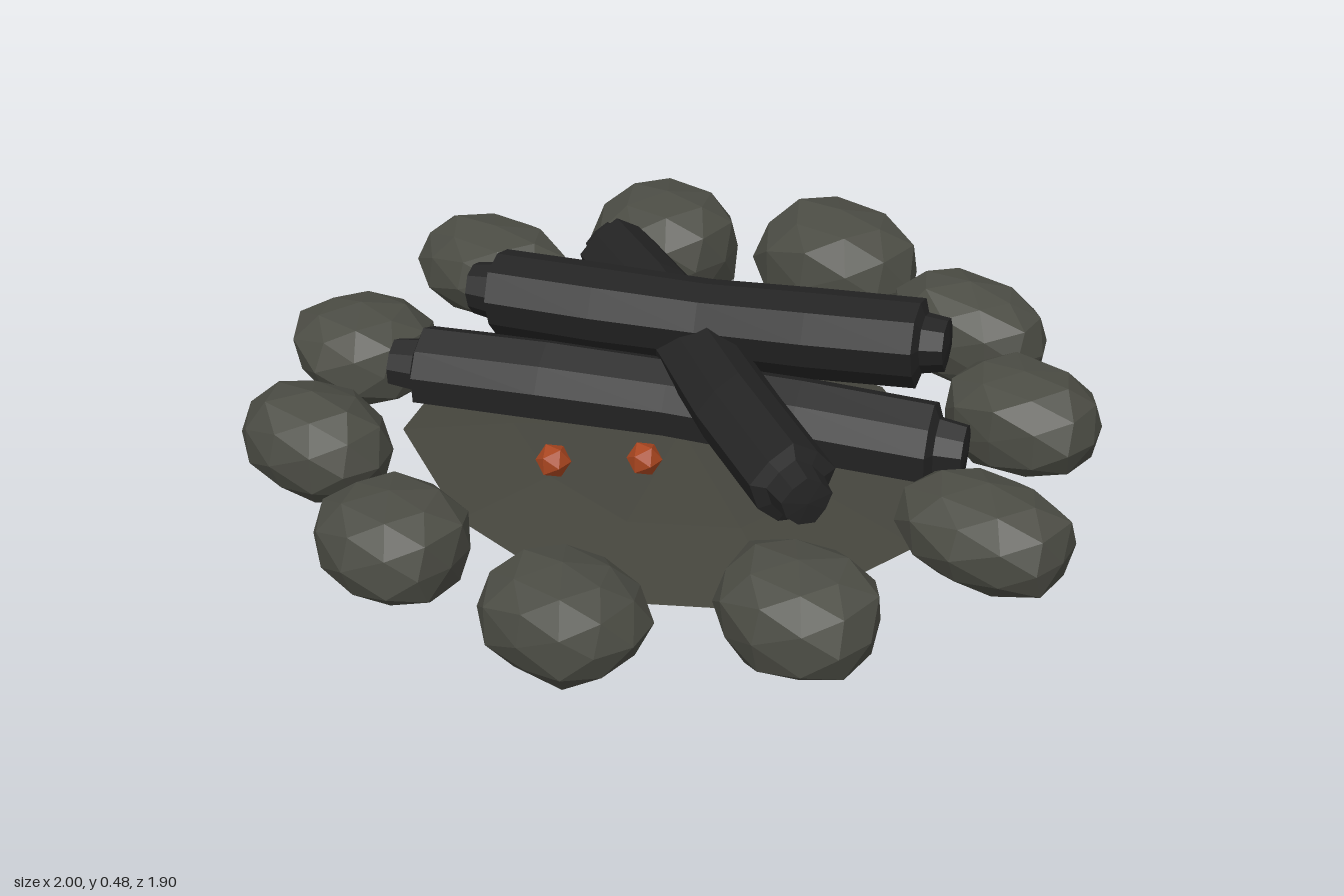
import * as THREE from 'three';

const material = (name, color) => Object.assign(new THREE.MeshStandardMaterial({ color }), { name });

// Repeatable noise from -1 to 1, tied to a position so shared corners stay joined
function noise(p, seed) {
  const s = Math.sin(Math.round(p.x * 50) * 12.99 + Math.round(p.y * 50) * 78.23 + Math.round(p.z * 50) * 37.72 + seed * 9.1) * 43758.5;
  return (s - Math.floor(s)) * 2 - 1;
}

// Faceted skin through rings of points; rings run counter-clockwise seen from the far end
function loft(rings) {
  const points = [];
  const tri = (...c) => {
    if (!c[0].equals(c[1]) && !c[1].equals(c[2]) && !c[2].equals(c[0])) points.push(...c);
  };
  for (let i = 0; i < rings.length - 1; i++) {
    const n = rings[i].length;
    for (let j = 0; j < n; j++) {
      const k = (j + 1) % n;
      tri(rings[i][j], rings[i][k], rings[i + 1][k]);
      tri(rings[i][j], rings[i + 1][k], rings[i + 1][j]);
    }
  }
  const g = new THREE.BufferGeometry().setFromPoints(points);
  g.computeVertexNormals();
  return g;
}

// Rounded, slightly boxy stone that fills the given half sizes
function stoneGeometry(rx, ry, rz, seed) {
  const g = new THREE.IcosahedronGeometry(1, 1);
  const pos = g.attributes.position;
  const v = new THREE.Vector3();
  const bulge = (a) => Math.sign(a) * Math.abs(a) ** 0.9;
  for (let i = 0; i < pos.count; i++) {
    v.fromBufferAttribute(pos, i);
    const k = 1 + 0.06 * noise(v, seed);
    pos.setXYZ(i, bulge(v.x) * k, bulge(v.y) * k, bulge(v.z) * k);
  }
  g.center();
  g.boundingBox = null;
  g.computeBoundingBox();
  const b = g.boundingBox.max;
  g.scale(rx / b.x, ry / b.y, rz / b.z);
  g.computeVertexNormals();
  return g;
}

// Ridged log along a bent path, with a narrowed, pointed cap at each end
function logGeometry(path, radius, seed) {
  const curve = new THREE.CatmullRomCurve3(path.map((p) => new THREE.Vector3(...p)));
  const axis = curve.getPoint(1).sub(curve.getPoint(0)).normalize();
  const side = new THREE.Vector3().crossVectors(axis, new THREE.Vector3(0, 1, 0)).normalize();
  const up = new THREE.Vector3().crossVectors(side, axis);
  const stations = [[0, 0], [0.005, 0.58], [0.05, 0.66], [0.06, 0.98], [0.28, 1], [0.5, 0.96],
    [0.72, 1], [0.94, 0.98], [0.95, 0.66], [0.995, 0.58], [1, 0]];
  return loft(stations.map(([t, k]) => {
    const c = curve.getPointAt(t);
    return Array.from({ length: 9 }, (_, j) => {
      const a = (j / 9) * Math.PI * 2;
      const r = radius * k * (1 + 0.08 * Math.sin(j * 2.6 + seed));
      return c.clone().addScaledVector(up, Math.cos(a) * r).addScaledVector(side, Math.sin(a) * r);
    });
  }));
}

export function createModel() {
  const model = new THREE.Group();
  model.name = 'campfire';
  const stone = material('stone', 0x4b4c44);
  const ash = material('ash', 0x45453d);
  const charcoal = material('charcoal', 0x242424);
  const glow = material('ember', 0xa8451f);
  const add = (parent, name, geometry, mat) => {
    const mesh = new THREE.Mesh(geometry, mat);
    mesh.name = name;
    parent.add(mesh);
    return mesh;
  };
  const group = (name) => {
    const g = new THREE.Group();
    g.name = name;
    model.add(g);
    return g;
  };

  // Shallow ash bed: an uneven ten-sided lens
  const rim = [[-0.2, 0.53], [0.215, 0.59], [0.56, 0.37], [0.64, 0], [0.55, -0.28],
    [0.2, -0.515], [-0.19, -0.49], [-0.45, -0.3], [-0.675, 0.02], [-0.56, 0.33]];
  const bed = [[0, 0.01], [0.5, 0.016], [1, 0.042], [0.6, 0.08], [0, 0.095]];
  add(model, 'ashBed', loft(bed.map(([k, y]) => rim.map(([x, z]) => new THREE.Vector3(x * k, y, z * k)))), ash);

  // Ring of stones: x, z, then half sizes in x, y, z
  const stones = group('stoneRing');
  [[-0.13, -0.79, 0.215, 0.15, 0.165], [0.315, -0.705, 0.205, 0.13, 0.133],
    [0.63, -0.425, 0.187, 0.125, 0.136], [0.8, 0.01, 0.197, 0.12, 0.139],
    [0.67, 0.49, 0.18, 0.125, 0.144], [0.31, 0.765, 0.18, 0.122, 0.15],
    [-0.145, 0.793, 0.174, 0.122, 0.152], [-0.54, 0.61, 0.185, 0.122, 0.142],
    [-0.765, 0.255, 0.175, 0.12, 0.155], [-0.78, -0.245, 0.22, 0.12, 0.147],
    [-0.54, -0.63, 0.184, 0.14, 0.166],
  ].forEach(([x, z, rx, ry, rz], i) => {
    add(stones, 'stone', stoneGeometry(rx, ry, rz, i + 1), stone).position.set(x, 0.155, z);
  });

  // Three charred logs stacked across each other
  const logs = group('logs');
  add(logs, 'lowerLog', logGeometry([[-0.61, 0.19, 0.3], [0, 0.2, 0.05], [0.64, 0.19, -0.19]], 0.095, 1), charcoal);
  add(logs, 'crossLog', logGeometry([[-0.51, 0.27, -0.35], [-0.1, 0.29, -0.11], [0.2, 0.3, 0.1], [0.57, 0.28, 0.31]], 0.092, 2), charcoal);
  add(logs, 'upperLog', logGeometry([[-0.49, 0.365, 0.15], [0, 0.36, -0.05], [0.54, 0.395, -0.25]], 0.1, 4), charcoal);

  // Glowing embers scattered on the ash
  const embers = group('embers');
  [[-0.107, -0.385], [-0.043, -0.2], [0.06, -0.06], [0.28, 0.08], [0.045, 0.19], [-0.107, 0.32]].forEach(([x, z]) => {
    add(embers, 'ember', new THREE.IcosahedronGeometry(0.04, 0), glow).position.set(x, 0.127, z);
  });
  return model;
}
